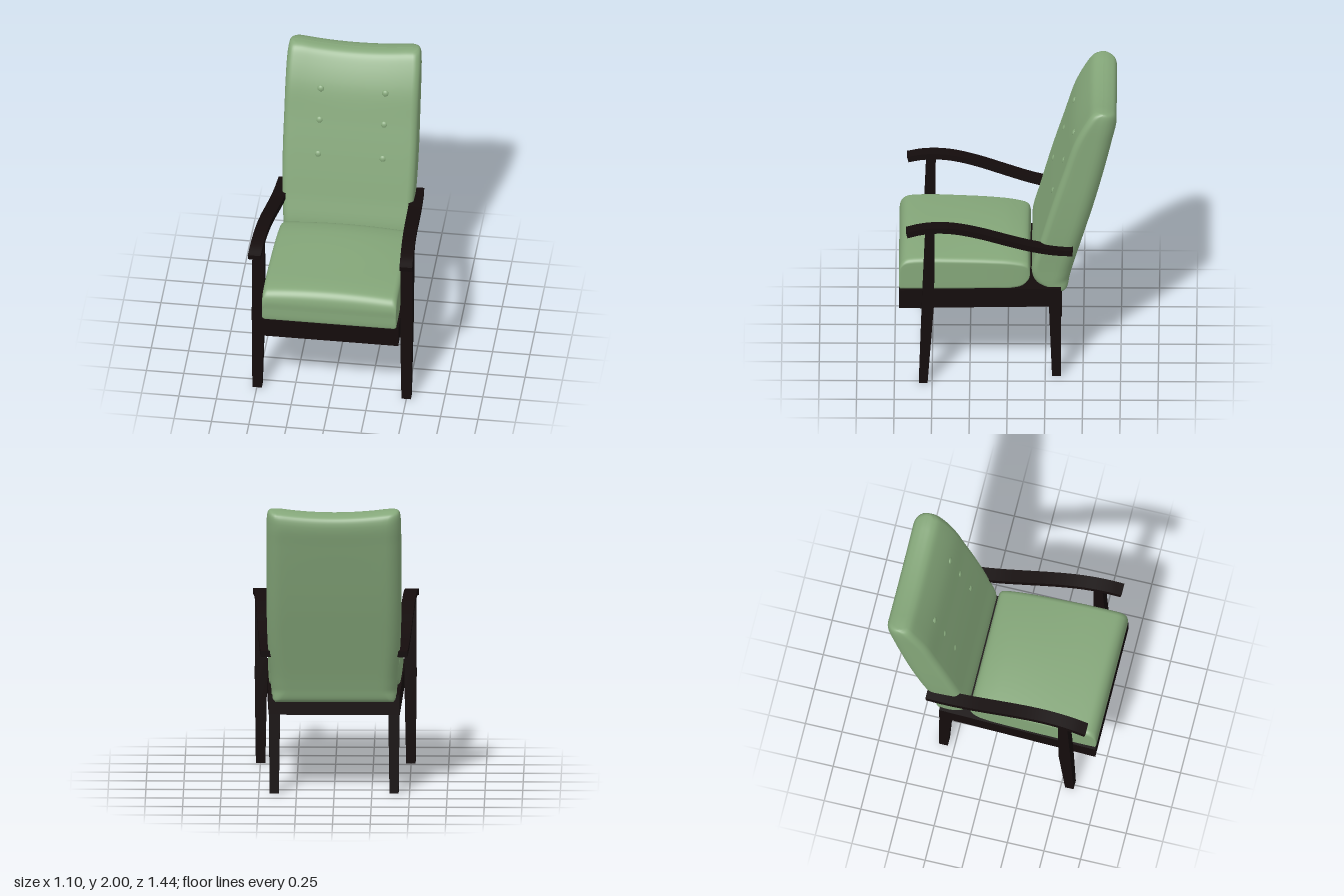
import * as THREE from 'three';

const fabric = new THREE.MeshStandardMaterial({ color: 0x84a679 });
const wood = new THREE.MeshStandardMaterial({ color: 0x140c0c });

function add(parent, name, geometry, material) {
  const mesh = new THREE.Mesh(geometry, material);
  mesh.name = name;
  parent.add(mesh);
  return mesh;
}

// Rounded-rectangle outline; u runs across the width, v from face A (0) to face B (depth).
function outline(w, depth, radiusA, radiusB) {
  const points = [], across = 18, along = 4, arc = 6;
  const ra = Math.min(radiusA, depth * 0.48), rb = Math.min(radiusB, depth * 0.48);
  for (let i = 0; i < across; i++) points.push([(w - ra) * (-1 + (2 * i) / across), 0]);
  for (let i = 0; i < arc; i++) {
    const a = (i / arc) * Math.PI / 2;
    points.push([w - ra + ra * Math.sin(a), ra - ra * Math.cos(a)]);
  }
  for (let i = 0; i < along; i++) points.push([w, ra + (depth - ra - rb) * (i / along)]);
  for (let i = 0; i < arc; i++) {
    const a = (i / arc) * Math.PI / 2;
    points.push([w - rb + rb * Math.cos(a), depth - rb + rb * Math.sin(a)]);
  }
  for (let i = 0; i < across; i++) points.push([(w - rb) * (1 - (2 * i) / across), depth]);
  for (let i = 0; i < arc; i++) {
    const a = (i / arc) * Math.PI / 2;
    points.push([-w + rb - rb * Math.sin(a), depth - rb + rb * Math.cos(a)]);
  }
  for (let i = 0; i < along; i++) points.push([-w, depth - rb - (depth - ra - rb) * (i / along)]);
  for (let i = 0; i < arc; i++) {
    const a = (i / arc) * Math.PI / 2;
    points.push([-w + ra - ra * Math.cos(a), ra - ra * Math.sin(a)]);
  }
  return points;
}

// Cushion lofted through stations [zA, yA, zB, yB, halfWidth], then shaped by a rule.
function cushion(stations, radiusA, radiusB, shape) {
  const curveA = new THREE.CatmullRomCurve3(stations.map(s => new THREE.Vector3(s[4], s[1], s[0])));
  const curveB = new THREE.CatmullRomCurve3(stations.map(s => new THREE.Vector3(s[4], s[3], s[2])));
  const rows = (stations.length - 1) * 5;
  const positions = [], index = [];
  let n = 0;
  for (let r = 0; r <= rows; r++) {
    const a = curveA.getPoint(r / rows), b = curveB.getPoint(r / rows);
    const depth = Math.max(a.distanceTo(b), 1e-4);
    const ring = outline(a.x, depth, radiusA, radiusB);
    n = ring.length;
    for (const [u, v] of ring) {
      const p = a.clone().lerp(b, v / depth);
      p.x = u;
      shape(p);
      positions.push(p.x, p.y, p.z);
    }
  }
  for (let r = 0; r < rows; r++) {
    for (let i = 0; i < n; i++) {
      const a = r * n + i, b = r * n + (i + 1) % n;
      index.push(a, b, b + n, a, b + n, a + n);
    }
  }
  const g = new THREE.BufferGeometry();
  g.setAttribute('position', new THREE.Float32BufferAttribute(positions, 3));
  g.setIndex(index);
  g.computeVertexNormals();
  return g;
}

// Tapered leg through sections [y, xInner, xOuter, zBack, zFront], bottom to top.
function legGeometry(sections, side) {
  const steps = sections.length - 1;
  const g = new THREE.BoxGeometry(1, 1, 1, 1, steps, 1);
  const p = g.attributes.position;
  for (let i = 0; i < p.count; i++) {
    const [y, inner, outer, z0, z1] = sections[Math.round((p.getY(i) + 0.5) * steps)];
    const x = p.getX(i) * side > 0 ? outer : inner;
    p.setXYZ(i, x * side, y, p.getZ(i) > 0 ? z1 : z0);
  }
  g.computeVertexNormals();
  return g;
}

// Wavy armrest, splayed outward towards the front.
function armGeometry(side) {
  const curve = new THREE.CatmullRomCurve3([
    [-0.432, 0.967], [-0.3, 0.98], [-0.15, 1.012], [0, 1.058], [0.2, 1.122],
    [0.35, 1.157], [0.47, 1.167], [0.58, 1.158], [0.668, 1.137],
  ].map(([z, y]) => new THREE.Vector3(0, y, z)));
  const g = new THREE.BoxGeometry(1, 1, 1, 1, 1, 40);
  const p = g.attributes.position;
  for (let i = 0; i < p.count; i++) {
    const t = p.getZ(i) + 0.5;
    const c = curve.getPoint(t), d = curve.getTangent(t);
    const k = (c.z + 0.435) / 1.105;
    const x = p.getX(i) * side > 0 ? 0.487 + 0.063 * k : 0.398 + 0.067 * k;
    const h = p.getY(i) * 0.041;
    p.setXYZ(i, x * side, c.y + h * d.z, c.z - h * d.y);
  }
  g.computeVertexNormals();
  return g;
}

function trapezoid(Type, front, back, zFront, zBack) {
  return new Type([
    new THREE.Vector2(-back, zBack), new THREE.Vector2(back, zBack),
    new THREE.Vector2(front, zFront), new THREE.Vector2(-front, zFront),
  ]);
}

function slab(shape, top, depth) {
  const g = new THREE.ExtrudeGeometry(shape, { depth, bevelEnabled: false });
  g.rotateX(Math.PI / 2);
  g.translate(0, top, 0);
  return g;
}

export function createModel() {
  const chair = new THREE.Group();
  chair.name = 'armchair';

  // Seat frame: four rails around a recessed panel
  const rails = trapezoid(THREE.Shape, 0.463, 0.435, 0.72, -0.353);
  rails.holes.push(trapezoid(THREE.Path, 0.42, 0.393, 0.677, -0.312));
  add(chair, 'seatFrame', slab(rails, 0.67, 0.135), wood);
  add(chair, 'seatPanel', slab(trapezoid(THREE.Shape, 0.44, 0.41, 0.7, -0.33), 0.665, 0.06), wood);

  // Legs and arms
  for (const [side, word] of [[1, 'left'], [-1, 'right']]) {
    add(chair, word + 'FrontLeg', legGeometry([
      [0, 0.467, 0.53, 0.53, 0.588], [0.6, 0.455, 0.537, 0.487, 0.568], [1.165, 0.458, 0.535, 0.482, 0.545],
    ], side), wood);
    add(chair, word + 'BackLeg', legGeometry([
      [0, 0.367, 0.428, -0.355, -0.295], [0.6, 0.358, 0.434, -0.352, -0.272],
    ], side), wood);
    add(chair, word + 'Arm', armGeometry(side), wood);
  }

  // Seat cushion, front to back, crowned more strongly towards the rear
  add(chair, 'seatCushion', cushion([
    [0.72, 0.76, 0.72, 0.76, 0.44], [0.72, 0.82, 0.72, 0.69, 0.446], [0.705, 0.87, 0.714, 0.67, 0.449],
    [0.675, 0.9, 0.69, 0.668, 0.449], [0.62, 0.912, 0.62, 0.668, 0.449], [0.4, 0.916, 0.4, 0.668, 0.447],
    [0.1, 0.914, 0.1, 0.668, 0.44], [-0.04, 0.9, -0.03, 0.668, 0.434], [-0.13, 0.868, -0.1, 0.685, 0.428],
    [-0.147, 0.82, -0.142, 0.73, 0.42], [-0.15, 0.775, -0.15, 0.775, 0.41],
  ], 0.035, 0.02, p => {
    const rear = THREE.MathUtils.clamp((0.45 - p.z) / 0.6, 0, 1);
    if (p.y > 0.8) p.y -= (0.018 + 0.022 * rear) * (p.x / 0.44) ** 2 * ((p.y - 0.8) / 0.11);
  }), fabric);

  // Reclined back cushion, bottom to top, with a dipped top edge
  const back = new THREE.Group();
  back.name = 'backrest';
  chair.add(back);
  add(back, 'backCushion', cushion([
    [-0.365, 0.625, -0.365, 0.625, 0.39], [-0.28, 0.652, -0.394, 0.645, 0.41], [-0.19, 0.7, -0.414, 0.72, 0.418],
    [-0.16, 0.79, -0.437, 0.81, 0.423], [-0.217, 1.02, -0.5, 1.03, 0.44], [-0.3, 1.315, -0.578, 1.3, 0.447],
    [-0.373, 1.55, -0.643, 1.55, 0.447], [-0.443, 1.77, -0.692, 1.76, 0.447], [-0.522, 1.925, -0.722, 1.91, 0.445],
    [-0.562, 1.98, -0.71, 1.968, 0.438], [-0.595, 1.997, -0.67, 1.992, 0.428], [-0.63, 2.0, -0.63, 2.0, 0.41],
  ], 0.045, 0.1, p => {
    const high = THREE.MathUtils.clamp((p.y - 1.6) / 0.4, 0, 1);
    p.y -= 0.026 * high * Math.max(0, 1 - (p.x / 0.36) ** 2);
  }), fabric);

  // Two columns of buttons, sunk into the fabric
  const buttonGeometry = new THREE.SphereGeometry(0.023, 20, 12);
  for (const x of [-0.206, 0.226]) {
    for (const [y, z] of [[1.745, -0.44], [1.535, -0.374], [1.305, -0.303]]) {
      const button = add(back, 'button', buttonGeometry, fabric);
      button.position.set(x, y, z);
      button.rotation.x = -0.3;
      button.scale.z = 0.6;
    }
  }
  return chair;
}
